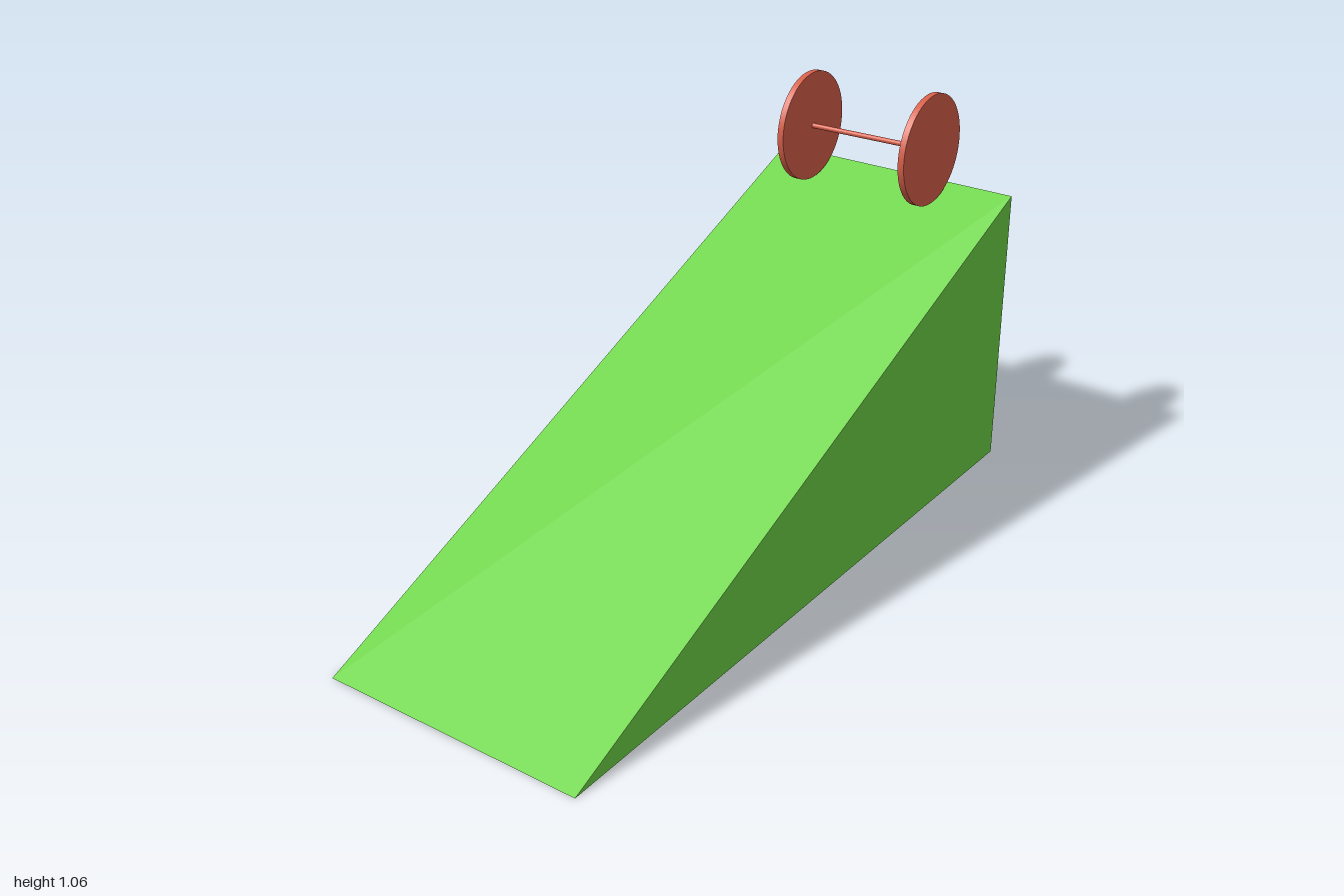
import * as THREE from 'three';

const green = new THREE.MeshStandardMaterial({ color: 0x6fd648, flatShading: true });
const red = new THREE.MeshStandardMaterial({ color: 0xd9604a });

const WIDTH = 0.726, LENGTH = 1.878, HEIGHT = 0.778;

// Cylinder lying along x, centred at the given x
function disc(name, radius, thickness, x) {
  const geometry = new THREE.CylinderGeometry(radius, radius, thickness, 64);
  geometry.rotateZ(Math.PI / 2);
  const mesh = new THREE.Mesh(geometry, red);
  mesh.name = name;
  mesh.position.x = x;
  return mesh;
}

// Wedge: triangular side profile, high at the back, extruded across the width
function createRamp() {
  const profile = new THREE.Shape([
    new THREE.Vector2(-LENGTH / 2, 0),
    new THREE.Vector2(LENGTH / 2, 0),
    new THREE.Vector2(LENGTH / 2, HEIGHT),
  ]);
  const geometry = new THREE.ExtrudeGeometry(profile, { depth: WIDTH, bevelEnabled: false });
  geometry.translate(0, 0, -WIDTH / 2);
  geometry.rotateY(Math.PI / 2);
  const ramp = new THREE.Mesh(geometry, green);
  ramp.name = 'ramp';
  return ramp;
}

// Two wheels joined by a thin axle, resting near the top of the ramp
function createWheelset() {
  const wheelset = new THREE.Group();
  wheelset.name = 'wheelset';
  const half = 0.187;
  wheelset.add(disc('axle', 0.007, half * 2, 0));
  wheelset.add(disc('rightWheel', 0.152, 0.018, -half));
  wheelset.add(disc('leftWheel', 0.152, 0.018, half));
  wheelset.position.set(-0.017, 0.902, -0.82);
  wheelset.rotation.z = 0.008;
  return wheelset;
}

export function createModel() {
  const model = new THREE.Group();
  model.name = 'rampWithWheelset';
  model.add(createRamp(), createWheelset());
  model.rotation.y = THREE.MathUtils.degToRad(-13.8);
  const root = new THREE.Group();
  root.add(model);
  return root;
}
